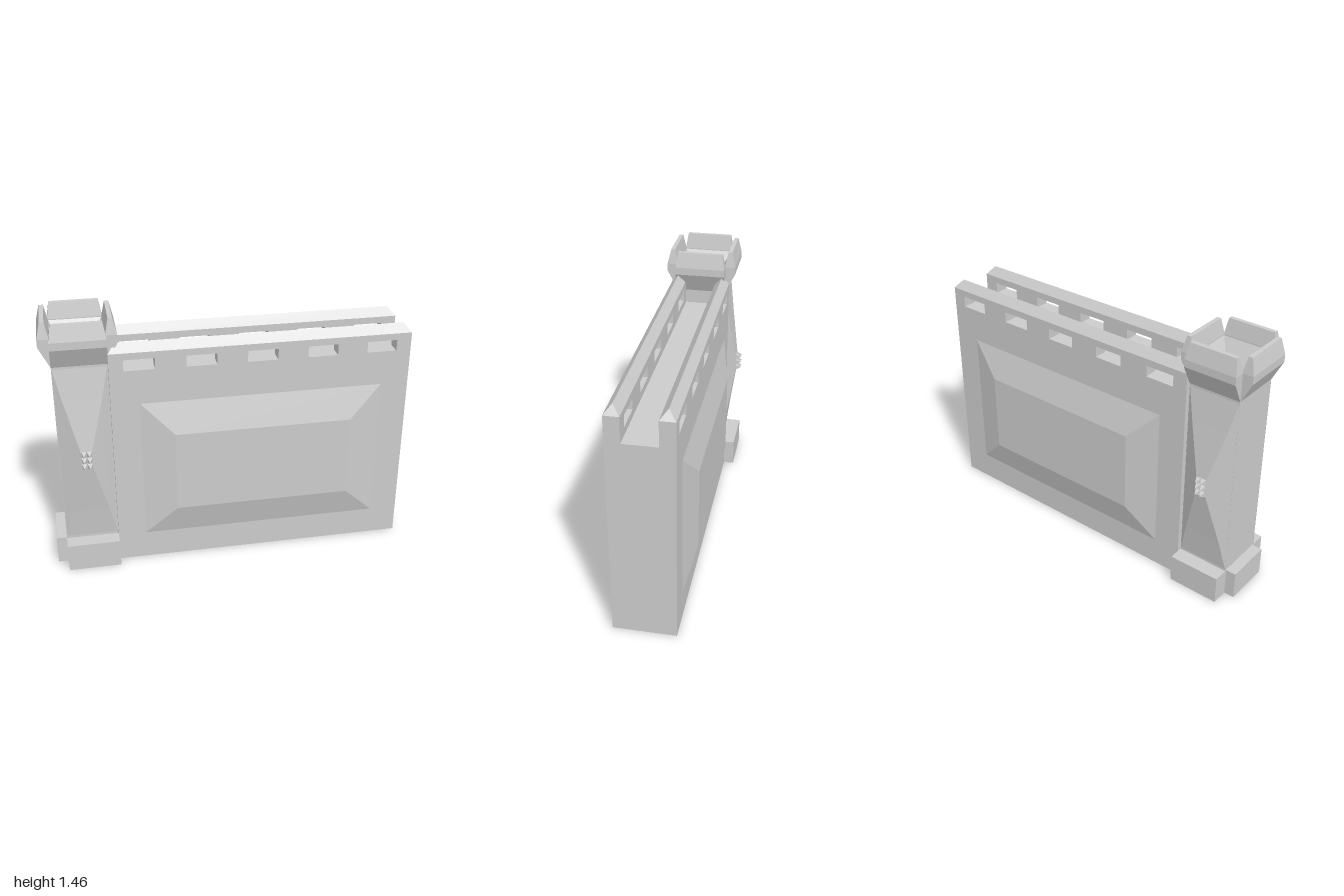
import * as THREE from 'three';

const material = new THREE.MeshStandardMaterial({ color: 0xcccccc, flatShading: true });

// Closed solid through rectangles stacked along y: [y, x0, x1, z0, z1]
function stack(levels) {
  const loops = levels.map(([y, x0, x1, z0, z1]) =>
    [[x0, y, z1], [x1, y, z1], [x1, y, z0], [x0, y, z0]]);
  const pos = [];
  const quad = (a, b, c, d) => pos.push(...a, ...b, ...c, ...a, ...c, ...d);
  for (let l = 0; l < loops.length - 1; l++) {
    const a = loops[l], b = loops[l + 1];
    for (let i = 0; i < 4; i++) {
      const j = (i + 1) % 4;
      quad(a[i], a[j], b[j], b[i]);
    }
  }
  const first = loops[0], last = loops[loops.length - 1];
  quad(first[3], first[2], first[1], first[0]);
  quad(...last);
  const geo = new THREE.BufferGeometry();
  geo.setAttribute('position', new THREE.Float32BufferAttribute(pos, 3));
  geo.computeVertexNormals();
  return geo;
}

// Same, but stacked outward along +z: [z, x0, x1, y0, y1]
function relief(levels) {
  return stack(levels.map(([z, x0, x1, y0, y1]) => [z, x0, x1, -y1, -y0])).rotateX(Math.PI / 2);
}

function add(parent, name, geo, turn = 0) {
  const mesh = new THREE.Mesh(geo, material);
  mesh.name = name;
  mesh.rotation.y = turn;
  parent.add(mesh);
  return mesh;
}

function createWall() {
  const wall = new THREE.Group();
  wall.name = 'wall';
  wall.position.x = 0.175;
  const h = 0.825, floor = 1.135, top = 1.275;

  add(wall, 'wallBody', stack([[0, -h, h, -0.17, 0.17], [floor, -h, h, -0.17, 0.17]]));

  // Parapet with a row of loopholes
  const shape = new THREE.Shape();
  shape.moveTo(-h, floor).lineTo(h, floor).lineTo(h, top).lineTo(-h, top).closePath();
  for (let i = 0; i < 5; i++) {
    const x = -0.665 + i * 0.3315, w = 0.083;
    const hole = new THREE.Path();
    hole.moveTo(x - w, 1.175).lineTo(x - w, 1.237).lineTo(x + w, 1.237).lineTo(x + w, 1.175).closePath();
    shape.holes.push(hole);
  }
  const parapet = new THREE.ExtrudeGeometry(shape, { depth: 0.08, bevelEnabled: false });
  parapet.translate(0, 0, 0.09);

  // Hipped coping and raised panel
  const coping = stack([[top, -h, h, 0.09, 0.17], [1.322, -h + 0.04, h - 0.04, 0.13, 0.13]]);
  const panel = relief([[0.17, -0.67, 0.67, 0.16, 0.98], [0.22, -0.49, 0.49, 0.335, 0.8]]);

  for (const [side, turn] of [['front', 0], ['back', Math.PI]]) {
    add(wall, side + 'Parapet', parapet, turn);
    add(wall, side + 'Coping', coping, turn);
    add(wall, side + 'Panel', panel, turn);
  }
  return wall;
}

function createTower() {
  const tower = new THREE.Group();
  tower.name = 'tower';
  tower.position.x = -0.796;
  const r = 0.146;
  const square = (y, s) => [y, -s, s, -s, s];

  // Cross-shaped plinth
  add(tower, 'plinthLong', stack([[0, -r, r, -0.23, 0.23], [0.16, -r, r, -0.23, 0.23]]));
  add(tower, 'plinthCross', stack([[0, -0.204, 0.204, -0.135, 0.135], [0.16, -0.204, 0.204, -0.135, 0.135]]));

  // Shaft with a funnel-shaped pit in its top
  add(tower, 'shaft', stack([square(0, r - 0.002), square(1.37, r - 0.002), square(1.25, 0.07)]));

  // Flared merlon on each side
  const merlon = stack([
    [1.215, -r, r, r - 0.004, r],
    [1.33, -r, r, r - 0.004, 0.204],
    [1.372, -r, r, r - 0.004, 0.204],
    [1.46, -0.131, 0.131, 0.16, 0.183],
  ]);
  for (let i = 0; i < 4; i++) add(tower, 'merlon', merlon, i * Math.PI / 2);

  // Faceted ornament with a cluster of studs, front and back
  const ornament = relief([
    [r - 0.004, -r, r, 0.16, 1.215],
    [0.168, -0.104, 0.104, 0.35, 1.03],
    [0.213, -0.03, 0.03, 0.64, 0.74],
  ]);
  const stud = relief([[0.21, -0.015, 0.015, -0.017, 0.017], [0.246, 0, 0, 0, 0]]);
  for (const [side, turn] of [['front', 0], ['back', Math.PI]]) {
    const face = new THREE.Group();
    face.name = side + 'Ornament';
    face.rotation.y = turn;
    add(face, 'facets', ornament);
    for (const x of [-0.015, 0.015]) {
      for (const y of [0.653, 0.69, 0.727]) add(face, 'stud', stud).position.set(x, y, 0);
    }
    tower.add(face);
  }
  return tower;
}

export function createModel() {
  const model = new THREE.Group();
  model.name = 'wallWithTower';
  model.add(createWall(), createTower());
  return model;
}
